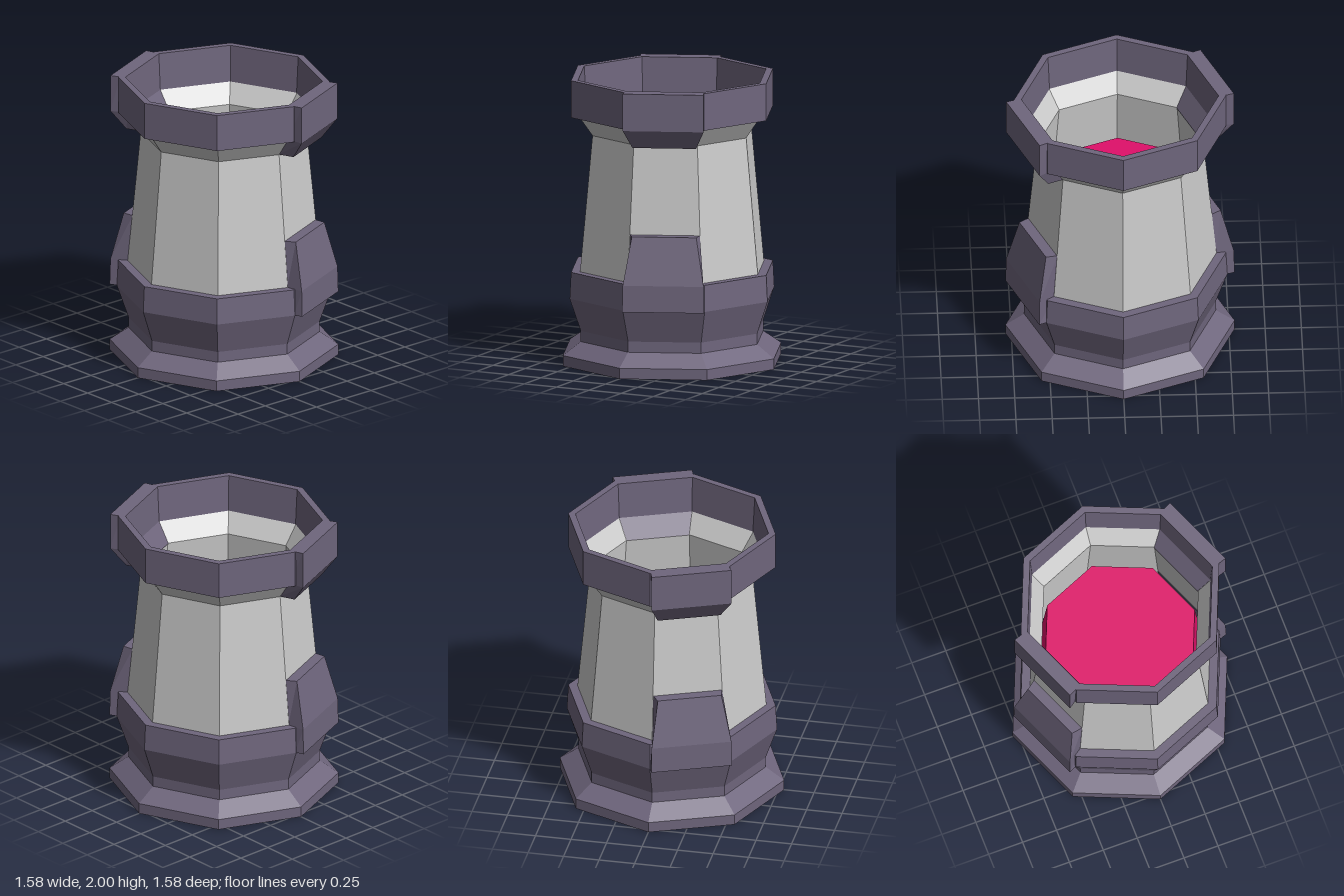
import * as THREE from 'three';

const SIDES = 8;
const grey = new THREE.MeshStandardMaterial({ color: 0xcccccc, flatShading: true, side: THREE.DoubleSide });
const purple = new THREE.MeshStandardMaterial({ color: 0x6f667d, flatShading: true });
const pink = new THREE.MeshStandardMaterial({ color: 0xe0106a, flatShading: true });

// Octagonal ring from a profile of [radius, height], corners on the axes
function octagon(name, profile, material) {
  const points = profile.map(([r, y]) => new THREE.Vector2(r, y));
  const mesh = new THREE.Mesh(new THREE.LatheGeometry(points, SIDES), material);
  mesh.name = name;
  return mesh;
}

// Raised plate over one octagon side, lofted through rows of
// [height, inner radius, outer radius, outward offset, end inset]
function plate(name, rows) {
  const half = Math.PI / SIDES;
  const n = new THREE.Vector3(Math.sin(half), 0, Math.cos(half));
  const along = new THREE.Vector3(Math.cos(half), 0, -Math.sin(half));
  const corner = (r, angle, y, offset, inset) =>
    new THREE.Vector3(r * Math.sin(angle), y, r * Math.cos(angle))
      .addScaledVector(n, offset).addScaledVector(along, inset);

  const rings = rows.map(([y, rin, rout, off, inset]) => [
    corner(rin, 0, y, 0, 0),
    corner(rout, 0, y, off, inset),
    corner(rout, 2 * half, y, off, -inset),
    corner(rin, 2 * half, y, 0, 0),
  ]);
  const pos = [];
  const quad = (a, b, c, d) => [a, b, c, a, c, d].forEach((p) => pos.push(p.x, p.y, p.z));
  for (let k = 0; k + 1 < rings.length; k++) {
    for (let i = 0; i < 4; i++) {
      const j = (i + 1) % 4;
      quad(rings[k][i], rings[k][j], rings[k + 1][j], rings[k + 1][i]);
    }
  }
  quad(...rings[rings.length - 1]);
  quad(...[...rings[0]].reverse());

  const geometry = new THREE.BufferGeometry();
  geometry.setAttribute('position', new THREE.Float32BufferAttribute(pos, 3));
  geometry.computeVertexNormals();
  const mesh = new THREE.Mesh(geometry, purple);
  mesh.name = name;
  return mesh;
}

export function createModel() {
  const tower = new THREE.Group();
  tower.name = 'tower';

  // Stepped foot and collar, closed underneath
  tower.add(octagon('base', [
    [0, 0], [0.79, 0], [0.79, 0.075], [0.66, 0.165], [0.66, 0.24],
    [0.74, 0.47], [0.73, 0.655], [0.66, 0.655],
  ], purple));

  // Thin tapered wall flaring out under the rim
  tower.add(octagon('wall', [[0.665, 0.655], [0.575, 1.605], [0.67, 1.74]], grey));

  // Top rim
  tower.add(octagon('rim', [
    [0.665, 1.74], [0.73, 1.74], [0.73, 2], [0.68, 2], [0.665, 1.74],
  ], purple));

  // Coloured core inside the wall
  tower.add(octagon('core', [[0.61, 0.6], [0.55, 1.25], [0, 1.25]], pink));

  // Raised plates on two opposite sides
  ['front', 'back'].forEach((side, i) => {
    const pair = new THREE.Group();
    pair.name = side + 'Plates';
    pair.add(plate(side + 'RimPlate', [
      [1.605, 0.57, 0.575, 0.11, 0],
      [1.74, 0.665, 0.73, 0.06, 0],
      [2, 0.715, 0.73, 0.06, 0],
    ]));
    pair.add(plate(side + 'CollarPlate', [
      [0.47, 0.73, 0.74, 0.055, 0],
      [0.655, 0.66, 0.73, 0.06, 0],
      [0.985, 0.63, 0.634, 0.075, 0.02],
    ]));
    pair.rotation.y = i * Math.PI;
    tower.add(pair);
  });

  return tower;
}
